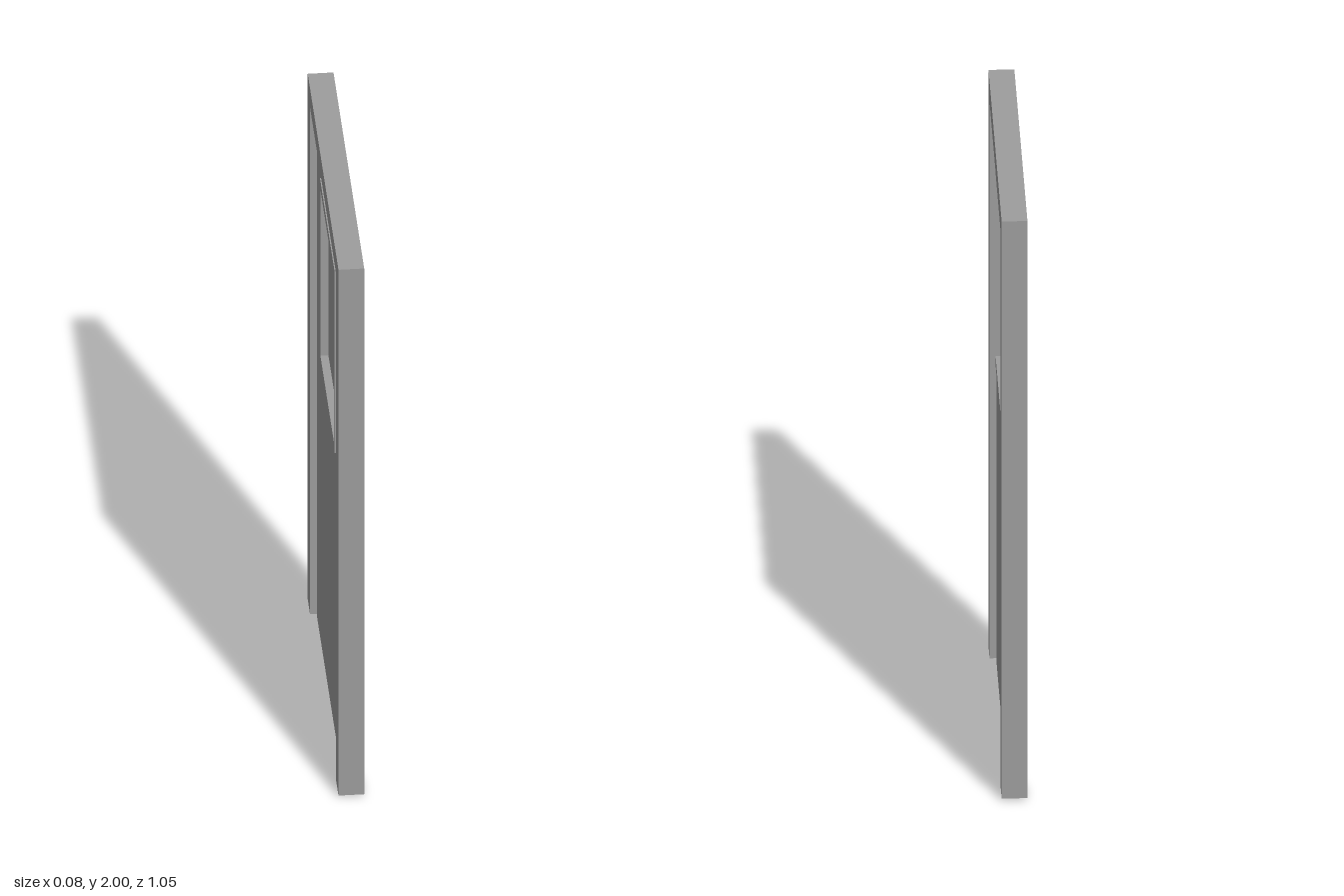
import * as THREE from 'three';

const material = new THREE.MeshStandardMaterial({ color: 0x9d9d9d, flatShading: true });

// Counter-clockwise closed outline; z is negated so that it survives the turn in panel()
const rect = (Type, z0, y0, z1, y1) =>
  new Type([[z1, y0], [z0, y0], [z0, y1], [z1, y1]].map(([z, y]) => new THREE.Vector2(-z, y)));

// Panel drawn in the z-y plane, given a thickness along x and centred on x = 0
function panel(name, shape, thickness) {
  const geometry = new THREE.ExtrudeGeometry(shape, { depth: thickness, bevelEnabled: false });
  geometry.translate(0, 0, -thickness / 2);
  geometry.rotateY(Math.PI / 2);
  const mesh = new THREE.Mesh(geometry, material);
  mesh.name = name;
  return mesh;
}

export function createModel() {
  const model = new THREE.Group();
  model.name = 'door';

  // Window outline (slightly off centre) and its glazed opening: z0, y0, z1, y1
  const windowOuter = [-0.23, 1.118, 0.262, 1.813];
  const windowInner = [-0.215, 1.15, 0.246, 1.781];

  // Door frame: two jambs and a head, open at the bottom
  const outerZ = 0.526, innerZ = 0.447, headY = 1.928, footY = 0.006;
  const frameShape = new THREE.Shape([
    [-outerZ, footY], [-innerZ, footY], [-innerZ, headY], [innerZ, headY],
    [innerZ, footY], [outerZ, footY], [outerZ, 2], [-outerZ, 2],
  ].map(([z, y]) => new THREE.Vector2(z, y)));
  model.add(panel('doorFrame', frameShape, 0.08));

  // Door leaf with the window opening cut through
  const leaf = rect(THREE.Shape, -innerZ, 0, innerZ, headY);
  leaf.holes.push(rect(THREE.Path, ...windowOuter));
  model.add(panel('doorLeaf', leaf, 0.038));

  // Window surround standing proud of both faces
  const surround = rect(THREE.Shape, ...windowOuter);
  surround.holes.push(rect(THREE.Path, ...windowInner));
  model.add(panel('windowFrame', surround, 0.058));

  // Recessed pane
  model.add(panel('windowPane', rect(THREE.Shape, ...windowInner), 0.008));

  return model;
}
